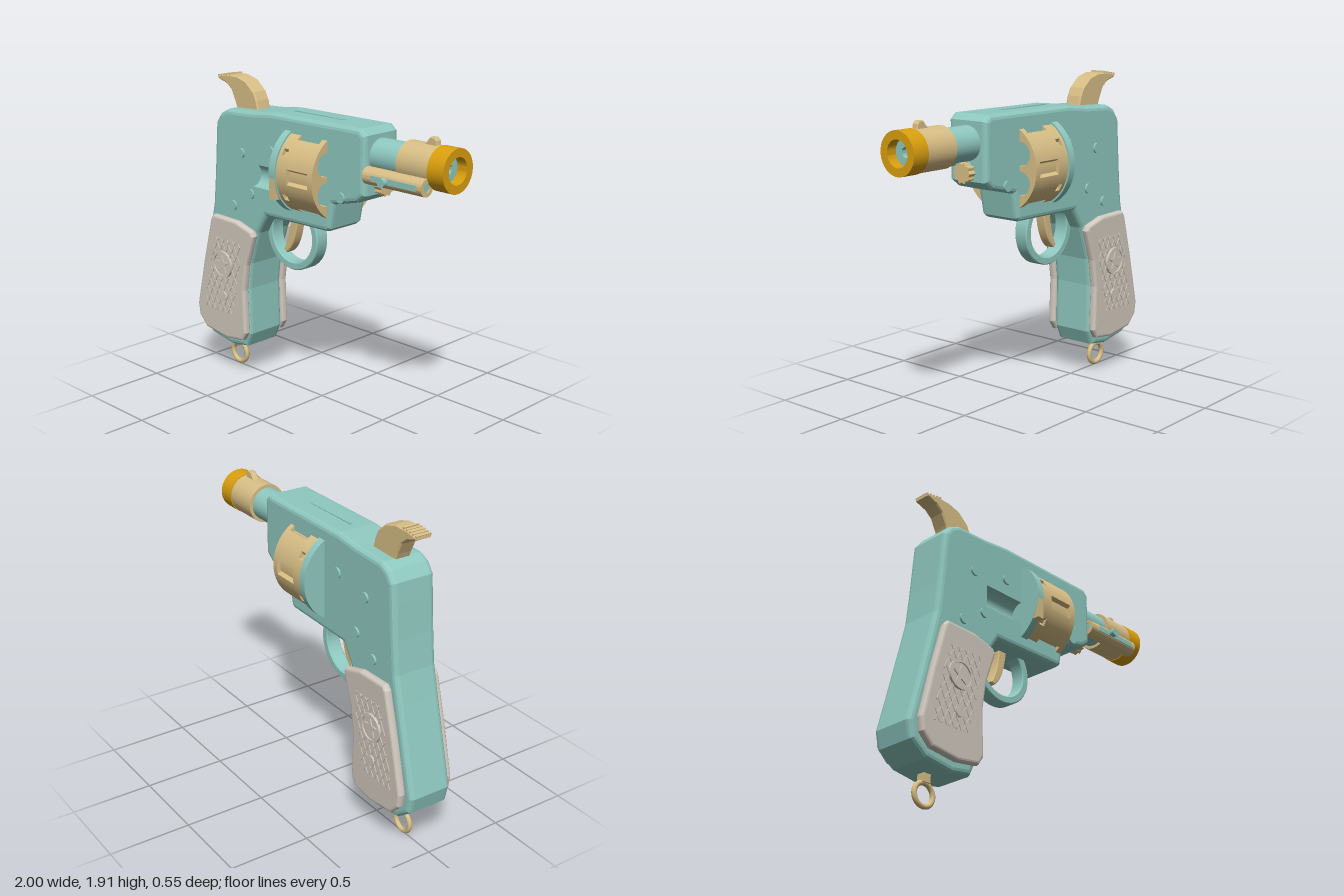
import * as THREE from 'three';
import { toCreasedNormals } from 'three/addons/utils/BufferGeometryUtils.js';

const mat = (name, color) => {
  const m = new THREE.MeshStandardMaterial({ color });
  m.name = name;
  return m;
};

export function createModel() {
  const teal = mat('teal', 0x8fc9c0), tan = mat('tan', 0xd9bf86);
  const gold = mat('gold', 0xdba00f), ivory = mat('ivory', 0xd3cabf);
  const root = new THREE.Group();
  root.name = 'toyRevolver';
  const V = (p) => p.map(([x, y]) => new THREE.Vector2(x, y));

  const add = (name, geo, m, x = 0, y = 0, z = 0, parent = root) => {
    const mesh = new THREE.Mesh(geo, m);
    mesh.name = name;
    mesh.position.set(x, y, z);
    parent.add(mesh);
    return mesh;
  };
  const box = (w, h, d) => new THREE.BoxGeometry(w, h, d);
  // Slab of total thickness d centred on z = 0, edges bevelled inside the outline
  const slab = (shape, d, bevel = 0, segs = 3) => {
    const g = new THREE.ExtrudeGeometry(shape, {
      depth: d - 2 * bevel, bevelEnabled: bevel > 0, bevelSize: bevel, bevelThickness: bevel,
      bevelOffset: -bevel, bevelSegments: segs, curveSegments: 48,
    });
    return g.translate(0, 0, -(d - 2 * bevel) / 2);
  };
  // Shape drawn in (-z, y), extruded along x from x0 to x1
  const alongX = (shape, x0, x1) => toCreasedNormals(
    new THREE.ExtrudeGeometry(shape, { depth: x1 - x0, bevelEnabled: false, curveSegments: 24 })
      .rotateY(Math.PI / 2).translate(x0, 0, 0), 0.5);
  const rod = (r, x0, x1, n = 48) => new THREE.CylinderGeometry(r, r, x1 - x0, n)
    .rotateZ(-Math.PI / 2).translate((x0 + x1) / 2, 0, 0);
  const disc = (r, h) => new THREE.CylinderGeometry(r, r, h, 32).rotateX(Math.PI / 2);
  const annulus = (R, r) => {
    const s = new THREE.Shape().absarc(0, 0, R, 0, Math.PI * 2);
    s.holes.push(new THREE.Path().absarc(0, 0, r, 0, Math.PI * 2, true));
    return s;
  };

  // Frame with grip core; a pocket is left for the loading trough
  const frame = new THREE.Shape(V([
    [-0.68, 1.71], [-0.74, 1.68], [-0.785, 1.62], [-0.795, 1.5], [-0.81, 1.3], [-0.83, 1.1], [-0.87, 0.93],
    [-0.95, 0.6], [-1, 0.4], [-0.975, 0.3], [-0.87, 0.22], [-0.68, 0.19], [-0.545, 0.21], [-0.505, 0.3],
    [-0.51, 0.6], [-0.49, 0.77], [-0.42, 0.98], [-0.345, 1.1], [0.165, 1.11], [0.19, 1.13], [0.22, 1.28],
    [0.4, 1.325], [0.46, 1.37], [0.46, 1.71], [0.42, 1.745], [-0.28, 1.74], [-0.46, 1.72],
  ]));
  frame.holes.push(new THREE.Path(V([[-0.5, 1.23], [-0.5, 1.45], [-0.1, 1.45], [-0.1, 1.23]])));
  add('frame', slab(frame, 0.28, 0.03), teal);
  const trough = new THREE.Shape(V([[-0.14, 1.2], [0.14, 1.2], [0.14, 1.48], [-0.14, 1.48], [-0.14, 1.41]]));
  trough.absarc(-0.14, 1.34, 0.07, Math.PI / 2, -Math.PI / 2, true);
  add('loadingTrough', alongX(trough, -0.45, -0.07), teal);
  add('troughEnd', box(0.08, 0.28, 0.28), teal, -0.49, 1.34, 0);
  add('topRib', box(0.4, 0.008, 0.018), teal, -0.02, 1.743, 0);

  // Frame pins on both sides
  for (const [x, y] of [[-0.55, 1.46], [-0.29, 1.51], [-0.47, 1.22], [-0.63, 1.12], [0.285, 1.335]])
    add('framePin', disc(0.031, 0.304), teal, x, y, 0);

  // Rotating cylinder: bands with notches or flutes around six open chambers
  const cylinder = new THREE.Group();
  cylinder.name = 'cylinder';
  cylinder.position.y = 1.42;
  root.add(cylinder);
  const drum = (x0, x1, half = 0, offset = 0, depth = 0.025) => {
    const pts = [], step = Math.PI / 3;
    for (let i = 0; i < 144; i++) {
      const a = (i / 144) * Math.PI * 2;
      const d = Math.abs(a - offset - Math.round((a - offset) / step) * step);
      const r = d < half ? 0.265 - depth : 0.265;
      pts.push([r * Math.cos(a), r * Math.sin(a)]);
    }
    const s = new THREE.Shape(V(pts));
    for (let k = 0; k < 6; k++) {
      const a = (k + 0.5) * step;
      s.holes.push(new THREE.Path().absarc(0.17 * Math.cos(a), 0.17 * Math.sin(a), 0.07, 0, Math.PI * 2, true));
    }
    add('cylinderBand', alongX(s, x0, x1), tan, 0, 0, 0, cylinder);
  };
  drum(-0.115, -0.09);
  drum(-0.09, -0.05, 0.07, Math.PI / 6, 0.02);
  drum(-0.05, -0.03);
  drum(-0.03, 0.14, 0.145);
  drum(0.14, 0.177);
  add('recoilPlate', rod(0.276, -0.163, -0.113, 72), teal, 0, 0, 0, cylinder);
  add('gateCatch', box(0.045, 0.14, 0.1), tan, -0.139, -0.08, 0.225, cylinder);

  // Barrel, sleeve and muzzle
  const by = 1.585;
  add('barrel', rod(0.1, 0.44, 0.7), teal, 0, by, 0);
  add('barrelSleeve', rod(0.12, 0.668, 0.892), tan, 0, by, 0);
  add('muzzleRing', alongX(annulus(0.124, 0.076), 0.89, 1), gold, 0, by, 0);
  add('boreTube', alongX(annulus(0.077, 0.03), 0.89, 0.935), teal, 0, by, 0);
  add('borePlug', rod(0.032, 0.88, 0.905), teal, 0, by, 0);
  add('frontSight', slab(new THREE.Shape(V([
    [0.77, 1.69], [0.87, 1.69], [0.865, 1.73], [0.85, 1.745], [0.82, 1.745], [0.8, 1.72],
  ])), 0.04, 0.005, 1), tan);

  // Ejector tube with slot rod and knob
  const ey = 1.495, ez = 0.115;
  add('ejectorTube', alongX(annulus(0.05, 0.026), 0.465, 0.888), tan, 0, ey, ez);
  add('ejectorCore', rod(0.027, 0.47, 0.88, 24), teal, 0, ey, ez);
  add('ejectorSlot', box(0.32, 0.032, 0.02), teal, 0.692, ey, ez + 0.042);
  add('ejectorKnobStem', disc(0.014, 0.06), teal, 0.64, ey, ez + 0.06);
  add('ejectorKnob', disc(0.026, 0.025), teal, 0.64, ey, 0.195);

  // Scalloped pin knob below the barrel
  const scallop = [];
  for (let i = 0; i < 96; i++) {
    const a = (i / 96) * Math.PI * 2, r = 0.056 + 0.005 * Math.cos(a * 10);
    scallop.push([r * Math.cos(a), r * Math.sin(a)]);
  }
  add('pinKnob', alongX(new THREE.Shape(V(scallop)), 0.45, 0.508), tan, 0, 1.42, 0);

  // Hammer with thumb ridges
  add('hammer', slab(new THREE.Shape(V([
    [-0.68, 1.69], [-0.7, 1.74], [-0.735, 1.81], [-0.78, 1.845], [-0.855, 1.868], [-0.855, 1.885], [-0.78, 1.9],
    [-0.68, 1.9], [-0.6, 1.878], [-0.53, 1.82], [-0.505, 1.77], [-0.485, 1.69],
  ])), 0.104, 0.008, 1), tan);
  for (let i = 0; i < 5; i++)
    add('hammerRidge', box(0.012, 0.016, 0.098), tan, -0.848 + i * 0.025, 1.884 + i * 0.0042, 0).rotation.z = 0.2;

  // Trigger and guard
  add('triggerGuard', toCreasedNormals(slab(annulus(0.215, 0.168), 0.09, 0.006, 1), 0.4), teal, -0.215, 0.992, 0);
  const trigger = new THREE.Shape();
  trigger.moveTo(-0.24, 1.13);
  trigger.quadraticCurveTo(-0.235, 1.0, -0.297, 0.885);
  trigger.lineTo(-0.275, 0.87);
  trigger.quadraticCurveTo(-0.19, 0.93, -0.175, 1.13);
  add('trigger', toCreasedNormals(slab(trigger, 0.07, 0.006, 1), 0.5), tan);

  // Grip panels with diamond lattice, star medallion and screw, mirrored by a half turn of depth
  const panel = new THREE.Shape(V([
    [-0.805, 1.01], [-0.78, 1.04], [-0.57, 1.035], [-0.43, 0.995], [-0.413, 0.965], [-0.48, 0.77], [-0.505, 0.6],
    [-0.495, 0.32], [-0.53, 0.265], [-0.68, 0.245], [-0.87, 0.27], [-0.94, 0.34], [-0.952, 0.42], [-0.88, 0.73],
  ]));
  const star = new THREE.Shape(V([...Array(10).keys()].map((i) => {
    const a = Math.PI / 2 + (i * Math.PI) / 5, r = i % 2 ? 0.025 : 0.058;
    return [r * Math.cos(a), r * Math.sin(a)];
  })));
  const inLattice = (x, y) => x > -0.99 + 0.245 * y && x < Math.min(-0.53, -0.69 + 0.2 * y);
  for (const side of [1, -1]) {
    const grip = new THREE.Group();
    grip.name = side > 0 ? 'frontGrip' : 'backGrip';
    root.add(grip);
    add('gripPanel', slab(panel, 0.05, 0.018), ivory, 0, 0, side * 0.16, grip);
    for (const slope of [0.5, -0.5]) for (let k = -12; k <= 12; k++) {
      let y0 = null, y1 = null;
      const at = (y) => -0.69 + k * 0.052 + slope * (y - 0.665);
      for (let y = 0.42; y <= 0.91; y += 0.01)
        if (inLattice(at(y), y)) { y0 ??= y; y1 = y; }
      if (y0 === null || y1 - y0 < 0.03) continue;
      const ym = (y0 + y1) / 2;
      add('latticeStrip', box(0.009, (y1 - y0) * Math.hypot(1, slope), 0.008), ivory, at(ym), ym, side * 0.185, grip)
        .rotation.z = -Math.atan(slope);
    }
    add('medallion', disc(0.075, 0.02), ivory, -0.69, 0.735, side * 0.182, grip);
    add('medallionRim', toCreasedNormals(slab(annulus(0.086, 0.072), 0.03), 0.5), ivory, -0.69, 0.735, side * 0.185, grip);
    add('medallionStar', slab(star, 0.012), ivory, -0.69, 0.735, side * 0.193, grip);
    add('gripScrew', disc(0.032, 0.02), ivory, -0.69, 0.522, side * 0.185, grip);
  }

  // Lanyard ring
  add('lanyardRing', new THREE.TorusGeometry(0.065, 0.015, 16, 48), tan, -0.757, 0.082, 0);
  add('lanyardLug', box(0.05, 0.05, 0.05), tan, -0.757, 0.17, 0);

  root.position.z = -0.003;
  return root;
}
